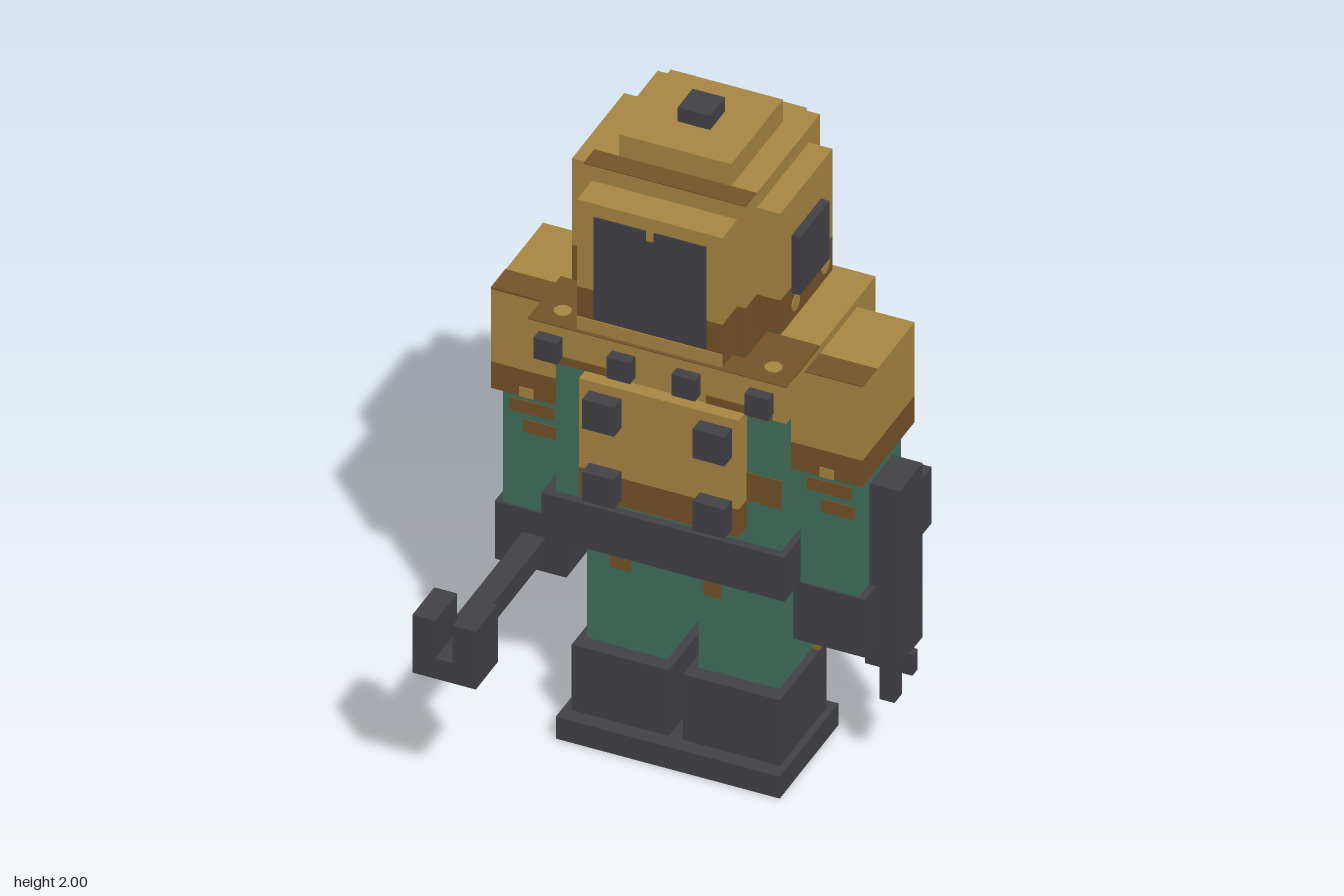
import * as THREE from 'three';

const mat = (name, color) => {
  const m = new THREE.MeshStandardMaterial({ color });
  m.name = name;
  return m;
};

export function createModel() {
  const root = new THREE.Group();
  root.name = 'divingSuitFigure';
  const brass = mat('brass', 0xab8843), rust = mat('rust', 0x77542a);
  const cloth = mat('greenCloth', 0x42705e), iron = mat('darkIron', 0x434248);
  const CX = -0.04; // mirror plane of the body

  // Box given by its limits on each axis
  const box = (name, m, [x0, x1], [y0, y1], [z0, z1], parent = root) => {
    const mesh = new THREE.Mesh(new THREE.BoxGeometry(x1 - x0, y1 - y0, z1 - z0), m);
    mesh.position.set((x0 + x1) / 2, (y0 + y1) / 2, (z0 + z1) / 2);
    mesh.name = name;
    parent.add(mesh);
    return mesh;
  };
  // Box with a rusty lower part up to height s
  const rusted = (name, x, [y0, y1], z, s) => {
    box(name, brass, x, [s, y1], z);
    box(name + 'Rust', rust, x, [y0, s], z);
  };
  const flip = ([a, b]) => [2 * CX - b, 2 * CX - a];
  const both = (x, fn) => { fn(flip(x), 'right'); fn(x, 'left'); };
  const T = 0.003; // thickness of painted patches
  const onFront = (name, m, x, y, z) => box(name, m, x, y, [z - T, z + T]);
  const onSide = (name, m, x, y, z) => box(name, m, [x - T, x + T], y, z);
  const onTop = (name, m, x, y, z) => box(name, m, x, [y - T, y + T], z);
  const rivet = (x, y, z, axis) => {
    const d = new THREE.Mesh(new THREE.CylinderGeometry(0.025, 0.025, 0.006, 8), brass);
    if (axis === 'x') d.rotation.z = Math.PI / 2;
    d.position.set(x, y, z);
    d.name = 'rivet';
    root.add(d);
  };

  // Sole, boots and legs
  box('sole', iron, [-0.365, 0.28], [0, 0.07], [-0.295, 0.07]);
  both([-0.02, 0.26], (x, s) => {
    box(s + 'Boot', iron, x, [0.07, 0.28], [-0.265, 0.025]);
    onTop(s + 'BootRim', rust, x, 0.28, [-0.265, -0.22]);
  });
  both([0.005, 0.237], (x, s) => box(s + 'Leg', cloth, x, [0.28, 0.7], [-0.25, -0.02]));
  onFront('leftLegPatch', rust, [0.01, 0.14], [0.57, 0.655], -0.02);
  onFront('leftLegPatch', rust, [0.02, 0.07], [0.52, 0.57], -0.02);
  onFront('rightLegPatch', rust, [-0.3, -0.19], [0.6, 0.64], -0.02);
  onFront('rightLegPatch', rust, [-0.25, -0.19], [0.53, 0.6], -0.02);
  onFront('leftLegBackPatch', rust, [0.05, 0.15], [0.54, 0.62], -0.25);
  onFront('rightLegBackPatch', rust, [-0.26, -0.16], [0.54, 0.6], -0.25);

  // Belt and torso
  box('belt', iron, [-0.395, 0.305], [0.655, 0.795], [-0.365, 0.095]);
  box('torso', cloth, [-0.365, 0.285], [0.795, 1.262], [-0.34, 0.07]);
  onFront('torsoPatch', rust, [-0.365, -0.22], [1.235, 1.262], 0.07);
  onFront('torsoPatch', rust, [0.185, 0.285], [0.93, 1.02], 0.07);
  onFront('torsoPatch', rust, [0.2, 0.25], [1.2, 1.262], 0.07);

  // Chest plate with four bolts
  rusted('chestPlate', [-0.275, 0.185], [0.84, 1.215], [0.06, 0.12], 0.93);
  for (const y of [0.86, 1.092]) both([0.073, 0.165], (x) =>
    box('chestBolt', iron, x, [y, y + 0.093], [0.12, 0.165]));

  // Collar with four bolts, rusty along its front top
  box('collar', brass, [-0.415, 0.33], [1.26, 1.375], [-0.418, 0.138]);
  onTop('collarRust', rust, [-0.415, 0.33], 1.375, [-0.07, 0.138]);
  onFront('collarFrontRust', rust, [-0.37, -0.16], [1.26, 1.285], 0.138);
  onFront('collarFrontRust', rust, [0.1, 0.29], [1.26, 1.285], 0.138);
  for (const x of [-0.382, -0.172, 0.015, 0.225])
    box('collarBolt', iron, [x, x + 0.068], [1.28, 1.347], [0.138, 0.172]);
  for (const x of [-0.345, 0.262]) rivet(x, 1.377, 0.07, 'y');

  // Shoulders, arms and hands
  both([0.29, 0.495], (x, s) => {
    rusted(s + 'Shoulder', x, [1.03, 1.35], [-0.305, 0.02], 1.115);
    onTop(s + 'ShoulderRust', rust, x, 1.35, [-0.07, 0.02]);
    onFront(s + 'ShoulderSpot', brass, [(x[0] + x[1]) / 2 - 0.02, (x[0] + x[1]) / 2 + 0.02], [1.03, 1.06], 0.02);
  });
  both([0.305, 0.472], (x, s) => {
    box(s + 'Arm', cloth, x, [0.65, 1.03], [-0.27, -0.005]);
    onFront(s + 'ArmPatch', rust, [x[0] + 0.02, x[1] - 0.02], [0.96, 1.0], -0.005);
    onFront(s + 'ArmPatch', rust, [x[0] + 0.06, x[1] - 0.01], [0.9, 0.94], -0.005);
  });
  both([0.287, 0.493], (x, s) => box(s + 'Hand', iron, x, [0.47, 0.655], [-0.275, 0]));

  // Wrench in the right hand, its jaw open at the top
  const wrench = new THREE.Group();
  wrench.name = 'wrench';
  root.add(wrench);
  box('wrenchShaft', iron, [-0.492, -0.427], [0.515, 0.58], [0, 0.425], wrench);
  box('wrenchJawBase', iron, [-0.553, -0.37], [0.47, 0.535], [0.42, 0.557], wrench);
  box('wrenchJawOuter', iron, [-0.553, -0.487], [0.535, 0.655], [0.42, 0.557], wrench);
  box('wrenchJawInner', iron, [-0.437, -0.37], [0.535, 0.655], [0.42, 0.557], wrench);

  // Drill tool on the left forearm
  const tool = new THREE.Group();
  tool.name = 'armTool';
  root.add(tool);
  box('toolBody', iron, [0.475, 0.562], [0.422, 0.98], [-0.21, -0.068], tool);
  box('toolTank', iron, [0.4, 0.535], [0.705, 0.885], [-0.325, -0.205], tool);
  box('toolChuck', iron, [0.435, 0.572], [0.355, 0.422], [-0.155, -0.125], tool);
  box('toolBit', iron, [0.482, 0.525], [0.26, 0.43], [-0.16, -0.115], tool);

  // Helmet: core, crown, knob and panels
  rusted('helmet', [-0.275, 0.192], [1.4, 1.885], [-0.37, 0.092], 1.56);
  onTop('helmetTopRust', rust, [-0.275, 0.192], 1.885, [0.025, 0.092]);
  box('crown', brass, [-0.205, 0.118], [1.88, 1.955], [-0.3, 0.022]);
  box('knob', iron, [-0.09, 0.003], [1.955, 2], [-0.188, -0.095]);
  rusted('facePlate', [-0.25, 0.168], [1.425, 1.838], [0.08, 0.185], 1.56);
  onFront('facePlateRim', brass, [-0.25, 0.168], [1.425, 1.465], 0.185);
  both([-0.028, 0.122], (x, s) => onFront(s + 'Window', iron, x, [1.47, 1.797], 0.186));
  onFront('windowBar', iron, [-0.054, -0.026], [1.47, 1.765], 0.187);
  rusted('helmetBackPanel', [-0.205, 0.12], [1.45, 1.838], [-0.442, -0.36], 1.55);
  both([0.18, 0.26], (x, s) => {
    rusted(s + 'EarPanel', x, [1.45, 1.838], [-0.302, 0.022], 1.56);
    const out = s === 'left' ? x[1] : x[0];
    box(s + 'EarPort', iron, [out - 0.025, out + 0.025], [1.54, 1.725], [-0.23, -0.047]);
    for (const z of [-0.07, -0.255]) rivet(out, 1.495, z, 'x');
  });

  // Backpack
  box('backpack', cloth, [-0.225, 0.143], [0.795, 1.26], [-0.532, -0.33]);
  onTop('backpackTopPatch', rust, [-0.225, -0.09], 1.26, [-0.532, -0.415]);
  onFront('backpackPatch', rust, [-0.2, -0.1], [1.12, 1.2], -0.532);
  onFront('backpackPatch', rust, [0.04, 0.13], [1.2, 1.26], -0.532);
  onSide('backpackSidePatch', rust, 0.143, [1.12, 1.19], [-0.46, -0.36]);

  // Crossed rods through the backpack, one with a brass hammer head
  const rod = (name, [x0, y0], [x1, y1], z) => {
    const g = new THREE.Group();
    g.name = name;
    g.position.set(x0, y0, z);
    g.rotation.z = -Math.atan2(x1 - x0, y1 - y0);
    box(name + 'Shaft', iron, [-0.033, 0.033], [0, Math.hypot(x1 - x0, y1 - y0)], [-0.034, 0.034], g);
    root.add(g);
    return g;
  };
  rod('leftRod', [-0.04, 0.545], [0.208, 1.19], -0.5);
  const hammer = rod('hammer', [0.07, 0.545], [-0.27, 1.19], -0.502);
  box('hammerHead', brass, [-0.06, 0.06], [-0.075, 0.015], [-0.057, 0.06], hammer);

  return root;
}
